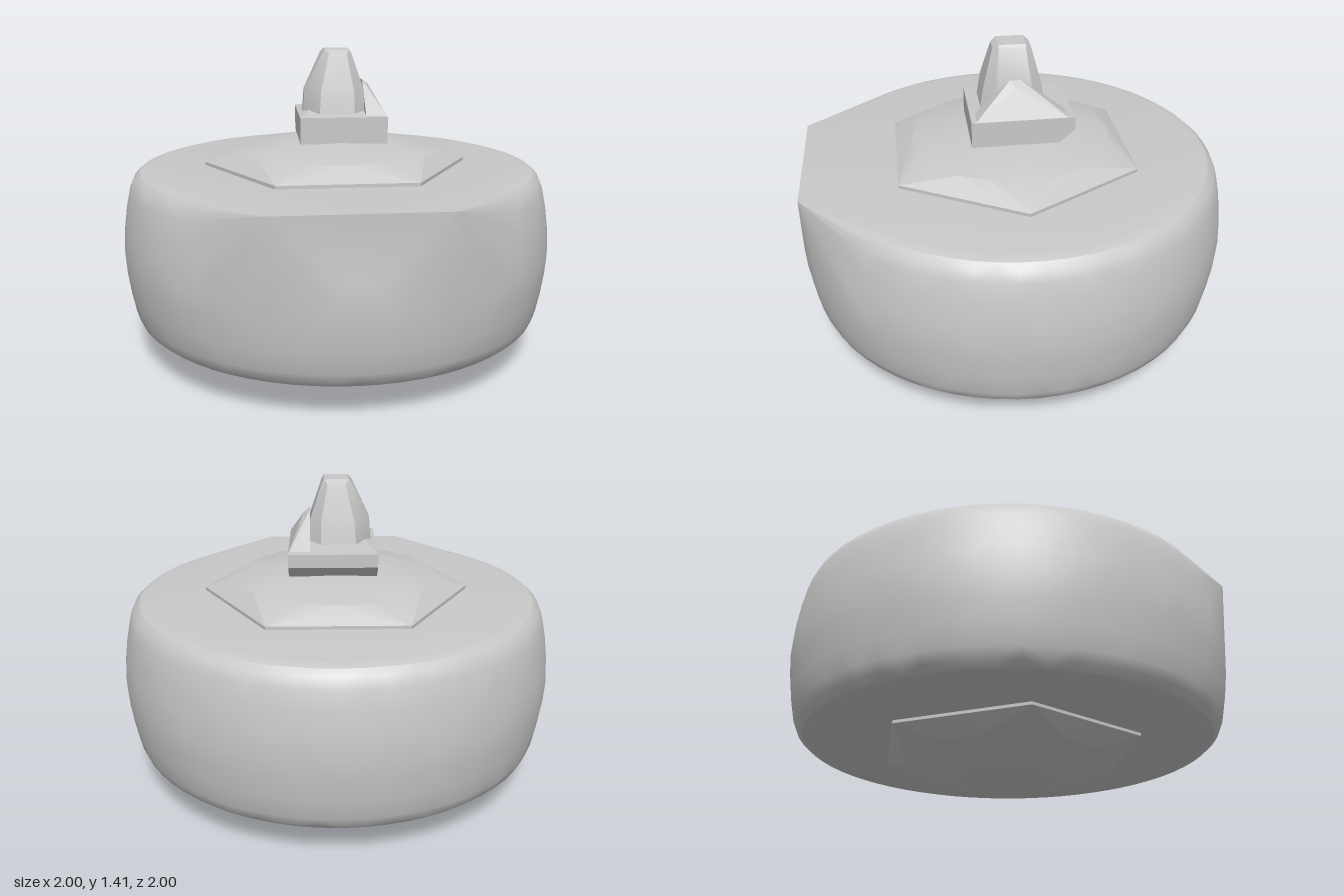
import * as THREE from 'three';
import { ConvexGeometry } from 'three/addons/geometries/ConvexGeometry.js';
import { toCreasedNormals } from 'three/addons/utils/BufferGeometryUtils.js';

const V = (x, y, z) => new THREE.Vector3(x, y, z);

// Points of a horizontal ring, starting on the +x axis
function ring(radius, y, sides) {
  return Array.from({ length: sides }, (_, i) => {
    const a = (i / sides) * Math.PI * 2;
    return V(radius * Math.cos(a), y, radius * Math.sin(a));
  });
}

// Outline of [x, z] pairs placed at a height
const outline = (pairs, y) => pairs.map(([x, z]) => V(x, y, z));

export function createModel() {
  const group = new THREE.Group();
  const grey = new THREE.MeshStandardMaterial({ color: 0xc8c8c8 });
  grey.name = 'plain grey';

  function addHull(name, points, crease) {
    const geometry = toCreasedNormals(new ConvexGeometry(points), crease);
    const mesh = new THREE.Mesh(geometry, grey);
    mesh.name = name;
    group.add(mesh);
  }

  // Rounded drum, drawn out to two sharp corners at the top of its front
  const drumProfile = [
    [0.88, 0.15], [0.915, 0.16], [0.943, 0.185], [0.962, 0.23], [0.98, 0.32], [0.994, 0.42],
    [1, 0.51], [0.994, 0.61], [0.98, 0.71], [0.962, 0.795], [0.943, 0.84], [0.915, 0.865], [0.88, 0.875],
  ];
  const drum = drumProfile.flatMap(([r, y]) => ring(r, y, 64));
  for (const side of [-1, 1]) drum.push(V(side * 0.36, 0.875, 0.96));
  addHull('drum', drum, 0.45);

  // Domes that pass from a hexagonal foot to a round crown
  addHull('upperDome', [
    ...ring(0.615, 0.86, 6), ...ring(0.615, 0.89, 6),
    ...ring(0.46, 0.955, 20), ...ring(0.2, 1.005, 12),
  ], 0.3);
  addHull('lowerDome', [
    ...ring(0.615, 0.16, 6), ...ring(0.615, 0.137, 6),
    ...ring(0.455, 0.068, 16), ...ring(0.2, 0.003, 12),
  ], 0.2);

  // Base block, undercut at the back
  const block = [];
  for (const x of [-0.18, 0.215]) {
    block.push(V(x, 1.0, 0.2), V(x, 1.12, 0.2), V(x, 1.12, -0.26), V(x, 1.06, -0.26), V(x, 1.0, -0.19));
  }
  block.push(V(-0.1, 1.15, 0), V(0.12, 1.15, 0));
  addHull('baseBlock', block, 0.1);

  // Peaked fin on the left edge of the block
  addHull('sideFin', [
    ...outline([[0.12, 0.2], [0.215, 0.2], [0.215, -0.26], [0.12, -0.26]], 1.1),
    V(0.215, 1.12, 0.18), V(0.215, 1.12, -0.23),
    V(0.12, 1.27, 0.02), V(0.12, 1.27, -0.03), V(0.148, 1.25, 0),
  ], 0.1);

  // Tapered, faceted knob
  addHull('knob', [
    ...outline([[-0.16, 0.03], [-0.16, -0.03], [-0.09, -0.15], [0.07, -0.15],
      [0.12, -0.1], [0.12, 0.1], [0.07, 0.15], [-0.09, 0.15]], 1.1),
    ...outline([[-0.15, 0.03], [-0.15, -0.03], [-0.08, -0.13], [0.07, -0.13],
      [0.12, -0.08], [0.12, 0.08], [0.07, 0.13], [-0.08, 0.13]], 1.23),
    ...outline([[-0.07, 0.06], [-0.07, -0.06], [-0.04, -0.085], [0.04, -0.085],
      [0.065, -0.06], [0.065, 0.06], [0.04, 0.085], [-0.04, 0.085]], 1.395),
    ...outline([[-0.055, 0.06], [-0.055, -0.06], [0.055, -0.06], [0.055, 0.06]], 1.412),
  ], 0.35);

  return group;
}
